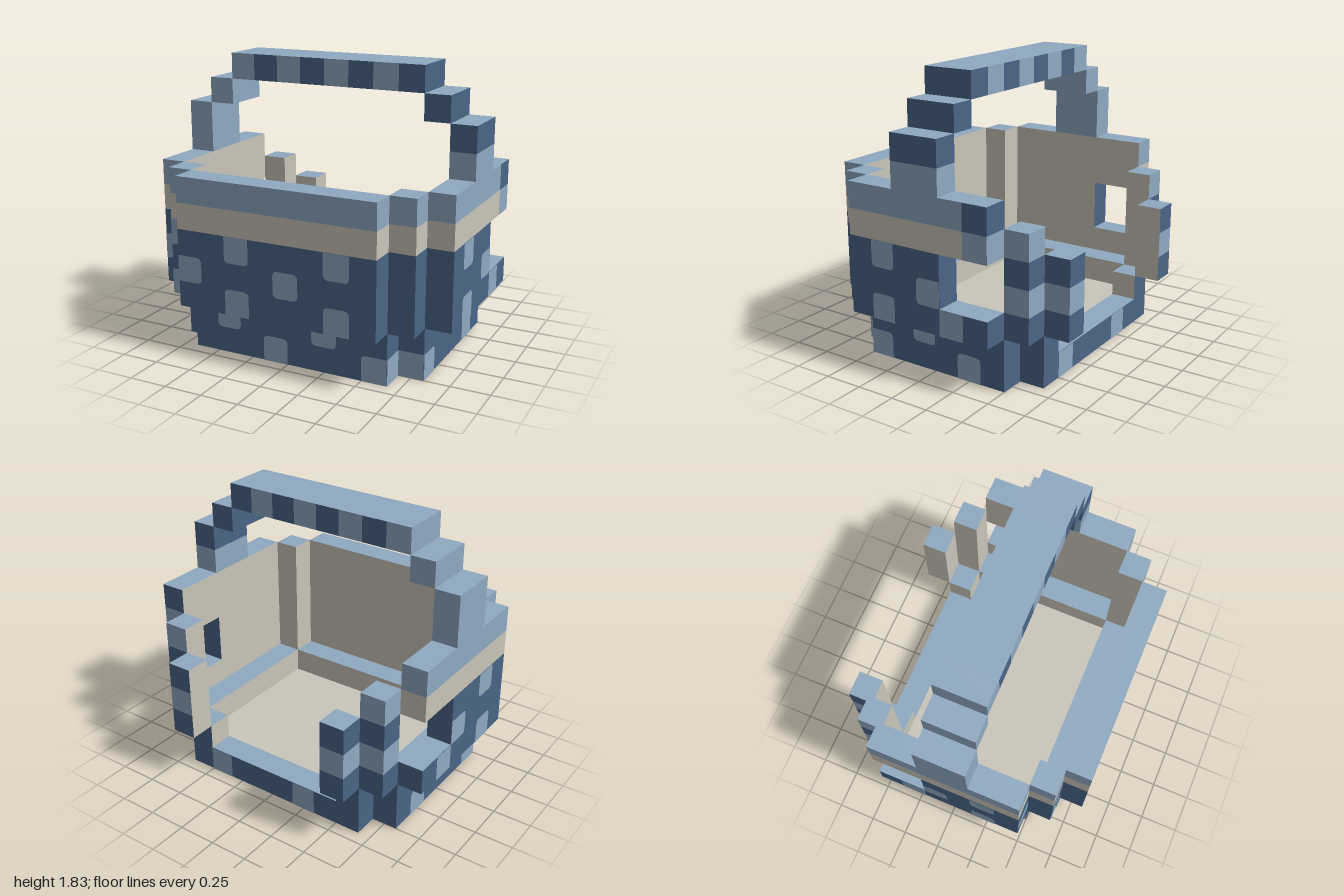
import * as THREE from 'three';

const U = 1 / 6; // one grid cell

export function createModel() {
  const model = new THREE.Group();
  model.name = 'basket';

  const mat = (name, color) => {
    const m = new THREE.MeshStandardMaterial({ color });
    m.name = name;
    return m;
  };
  const dark = mat('navyBlue', 0x4a6587);
  const light = mat('paleBlue', 0x8fa9c1);
  const cream = mat('cream', 0xc9c5b9);

  // Box in grid cells; "out" faces away from x = 0 and s = -1 mirrors it
  function block(name, s, [x0, x1, y0, y1, z0, z1], body, faces = {}) {
    const f = { out: body, in: body, top: light, bottom: body, front: body, back: body, ...faces };
    const g = new THREE.BoxGeometry((x1 - x0) * U, (y1 - y0) * U, (z1 - z0) * U);
    const sides = s > 0 ? [f.out, f.in] : [f.in, f.out];
    const mesh = new THREE.Mesh(g, [...sides, f.top, f.bottom, f.front, f.back]);
    mesh.position.set(s * (x0 + x1) / 2 * U, (y0 + y1) / 2 * U, (z0 + z1) / 2 * U);
    mesh.name = name;
    model.add(mesh);
  }

  // Rounded one-cell patch on a wall; a = left edge as seen, r = radii of
  // bottom-left, bottom-right, top-right, top-left corners
  function spot(face, a, y, depth, r = [1, 1, 1, 1]) {
    const [bl, br, tr, tl] = r.map((k) => k * 0.2 * U);
    const sh = new THREE.Shape();
    sh.moveTo(bl, 0);
    sh.lineTo(U - br, 0);
    sh.quadraticCurveTo(U, 0, U, br);
    sh.lineTo(U, U - tr);
    sh.quadraticCurveTo(U, U, U - tr, U);
    sh.lineTo(tl, U);
    sh.quadraticCurveTo(0, U, 0, U - tl);
    sh.lineTo(0, bl);
    sh.quadraticCurveTo(0, 0, bl, 0);
    const mesh = new THREE.Mesh(new THREE.ShapeGeometry(sh, 4), light);
    mesh.position.set(a * U, y * U, depth * U + 0.003);
    const pivot = new THREE.Group();
    pivot.name = face + 'Spot';
    pivot.rotation.y = { front: 0, right: Math.PI / 2, back: Math.PI, left: -Math.PI / 2 }[face];
    pivot.add(mesh);
    model.add(pivot);
  }

  // Base tray: floor, back sill and low rim
  block('floor', 1, [-4, 4, 0, 1, -3, 3], dark, { top: cream });
  block('backSill', 1, [-4, 4, 0, 1, -4, -3], dark);
  block('baseFront', 1, [-4, 4, 0, 2, 3, 4], dark, { back: cream });

  // Wall layers: body, cream band, pale rim
  const layers = [[2, 5, dark, 'Wall'], [5, 6, cream, 'Band'], [6, 7, light, 'Rim']];
  for (const [y0, y1, m, part] of layers) {
    block('front' + part, 1, [-4, 4, y0, y1, 4, 5], m, { back: cream });
  }

  for (const s of [1, -1]) {
    block('baseSide', s, [4, 5, 0, 2, -3, 3], dark, { in: cream });
    block('sillEnd', s, [3, 4, 1, 2, -4, -3], dark, { in: cream, front: cream });
    for (const [y0, y1, m, part] of layers) {
      block('corner' + part, s, [4, 5, y0, y1, 3, 4], m, { in: cream, back: cream });
      // Side walls run forward of the arm hole, with a lintel above it
      block('side' + part, s, [5, 6, y0, y1, m === dark ? -1 : -2, 3], m,
        { in: cream, bottom: dark });
    }
    block('holeSill', s, [5, 6, 2, 3, -3, -1], dark, { in: cream });
    block('lintelLower', s, [5, 6, 5, 6, -3, -2], s > 0 ? light : cream, { in: cream, bottom: dark });
    block('lintelUpper', s, [5, 6, 6, 7, -3, -2], s > 0 ? dark : light, { in: cream });

    // Stepped back posts in alternating cells
    const inner = { in: cream, front: cream };
    for (let y = 2; y < 6; y++) {
      const m = y % 2 ? light : dark;
      block('backCornerPost', s, [4, 5, y, y + 1, -4, -3], m, inner);
      if (y < 5) block('backPost', s, [3, 4, y, y + 1, -5, -4], m, inner);
    }

    // Handle uprights
    const m = s > 0 ? dark : light;
    block('handleFoot', s, [5, 6, 7, 8, -1, 1], light);
    block('handleUpright', s, [5, 6, 8, 9, -1, 1], m);
    block('handleShoulder', s, [4, 5, 9, 10, -1, 1], m);
  }

  // Striped handle bar
  for (let x = -4; x < 4; x++) {
    block('handleBar', 1, [x, x + 1, 10, 11, -1, 1], x % 2 ? dark : light);
  }

  // Spots: radii for patches cut off at the top, at the bottom, or square
  const hang = [1, 1, 0, 0], sit = [0, 0, 1, 1], square = [0, 0, 0, 0];
  for (const x of [-2, 2]) {
    spot('front', x, 4, 5, hang);
    spot('front', x, 2, 5, sit);
  }
  spot('front', -4, 3, 5, [0, 1, 1, 0]);
  spot('front', 0, 3, 5);
  spot('front', -5, 4, 4, square);
  spot('front', -5, 2, 4, square);
  spot('front', -6, 3, 3, square);
  for (const x of [-3, 1]) spot('front', x, 1, 4, hang);
  spot('front', -1, 0, 4, sit);
  spot('front', 3, 0, 4, [0, 0, 0, 1]);
  spot('front', 4, 0, 3, square);

  // Both sides share one pattern; z is the cell's rear edge
  for (const face of ['right', 'left']) {
    const put = (z, y, d, r) => spot(face, face === 'right' ? -z - 1 : z, y, d,
      face === 'right' ? r : [r[1], r[0], r[3], r[2]]);
    put(1, 4, 6, hang);
    put(1, 2, 6, sit);
    put(-1, 3, 6, [1, 0, 0, 1]);
    put(-2, 2, 6, square);
    put(0, 1, 5, hang);
    put(-2, 0, 5, sit);
    put(2, 0, 5, [0, 0, 1, 0]);
    put(3, 0, 4, square);
  }

  // Back sill patches
  for (const x of [2, -2]) spot('back', -x - 1, 0, 4, square);

  return model;
}
